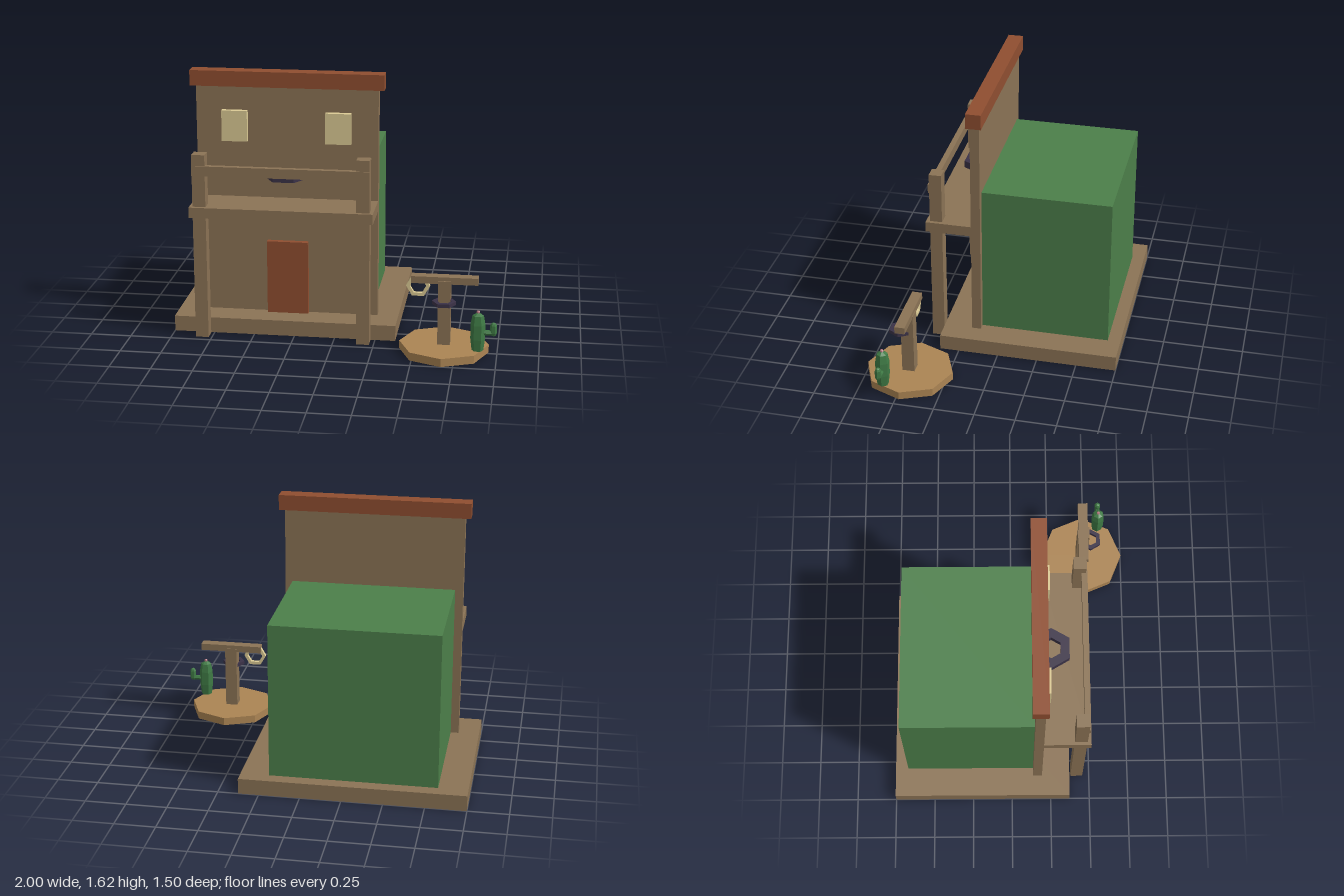
import * as THREE from 'three';

const mat = (color) => new THREE.MeshStandardMaterial({ color, flatShading: true });

export function createModel() {
  const model = new THREE.Group();
  const wood = mat(0x8b7355), red = mat(0x8f4e30), cream = mat(0xdbca94);
  const green = mat(0x4c7f4a), tan = mat(0xab8453), dark = mat(0x3b3247);
  const cactusGreen = mat(0x3f7a45), pink = mat(0xb87882);

  const add = (name, geometry, material, parent = model) => {
    const mesh = new THREE.Mesh(geometry, material);
    mesh.name = name;
    parent.add(mesh);
    return mesh;
  };
  // Box given by its extents on each axis
  const box = (name, material, [x0, x1], [y0, y1], [z0, z1], parent) => {
    const mesh = add(name, new THREE.BoxGeometry(x1 - x0, y1 - y0, z1 - z0), material, parent);
    mesh.position.set((x0 + x1) / 2, (y0 + y1) / 2, (z0 + z1) / 2);
    return mesh;
  };
  // Six-sided ring with a square section, corners on the x axis, centred on its origin
  const hexRing = (name, material, outer, inner, depth, parent) => {
    const corners = (r) => Array.from({ length: 6 }, (_, i) =>
      new THREE.Vector2(r * Math.cos(i * Math.PI / 3), r * Math.sin(i * Math.PI / 3)));
    const shape = new THREE.Shape(corners(outer));
    shape.holes.push(new THREE.Path(corners(inner).reverse()));
    const geometry = new THREE.ExtrudeGeometry(shape, { depth, bevelEnabled: false });
    geometry.translate(0, 0, -depth / 2);
    return add(name, geometry, material, parent);
  };

  // Building
  box('foundation', wood, [-1, 0.375], [0, 0.097], [-0.75, 0.37]);
  box('mainHall', green, [-0.82, 0.2], [0.097, 1.06], [-0.67, 0.135]);
  box('falseFront', wood, [-0.87, 0.245], [0.097, 1.53], [0.135, 0.193]);
  box('cornice', red, [-0.905, 0.28], [1.525, 1.62], [0.115, 0.21]);
  box('door', red, [-0.44, -0.185], [0.097, 0.56], [0.19, 0.227]);
  for (const x of [-0.71, -0.075]) box('window', cream, [x, x + 0.157], [1.19, 1.38], [0.19, 0.228]);

  // Balcony
  box('balconyFloor', wood, [-0.87, 0.245], [0.77, 0.835], [0.19, 0.48]);
  for (const x of [-0.85, 0.143]) box('balconyPost', wood, [x, x + 0.08], [0, 1.157], [0.38, 0.457]);
  box('balconyRail', wood, [-0.85, 0.223], [1.03, 1.09], [0.43, 0.465]);
  const wallRing = hexRing('wallRing', dark, 0.128, 0.066, 0.045);
  wallRing.rotation.x = Math.PI / 2;
  wallRing.position.set(-0.313, 0.997, 0.24);

  // Post stand on an eight-sided plate
  const stand = new THREE.Group();
  stand.name = 'hitchingStand';
  model.add(stand);
  add('standBase', new THREE.CylinderGeometry(0.27, 0.27, 0.05, 8), tan, stand).position.set(0.68, 0.025, 0.48);
  box('standPost', wood, [0.642, 0.718], [0.05, 0.45], [0.443, 0.52], stand);
  box('crossBeam', wood, [0.48, 0.88], [0.43, 0.473], [0.447, 0.51], stand);
  const postRing = hexRing('postRing', dark, 0.072, 0.044, 0.022, stand);
  postRing.rotation.x = Math.PI / 2;
  postRing.position.set(0.68, 0.323, 0.532);
  hexRing('ropeLoop', cream, 0.072, 0.05, 0.025, stand).position.set(0.52, 0.405, 0.475);

  // Cactus with one bent arm and a flower
  const cactus = new THREE.Group();
  cactus.name = 'cactus';
  cactus.position.set(0.887, 0.05, 0.592);
  model.add(cactus);
  const hexLathe = (name, points) => {
    const mesh = add(name, new THREE.LatheGeometry(points.map(([r, y]) => new THREE.Vector2(r, y)), 6), cactusGreen, cactus);
    mesh.rotation.y = Math.PI / 2;
    return mesh;
  };
  hexLathe('cactusBody', [[0, 0], [0.035, 0.007], [0.044, 0.08], [0.044, 0.17], [0.034, 0.225], [0, 0.245]]);
  hexLathe('cactusArm', [[0, 0], [0.014, 0.005], [0.02, 0.02], [0.02, 0.067], [0.014, 0.08], [0, 0.088]])
    .position.set(0.092, 0.098, 0);
  const elbow = add('cactusElbow', new THREE.CylinderGeometry(0.016, 0.016, 0.06, 6), cactusGreen, cactus);
  elbow.rotation.z = Math.PI / 2;
  elbow.position.set(0.062, 0.118, 0);
  add('flower', new THREE.IcosahedronGeometry(0.012, 0), pink, cactus).position.set(0, 0.246, 0);

  return model;
}
